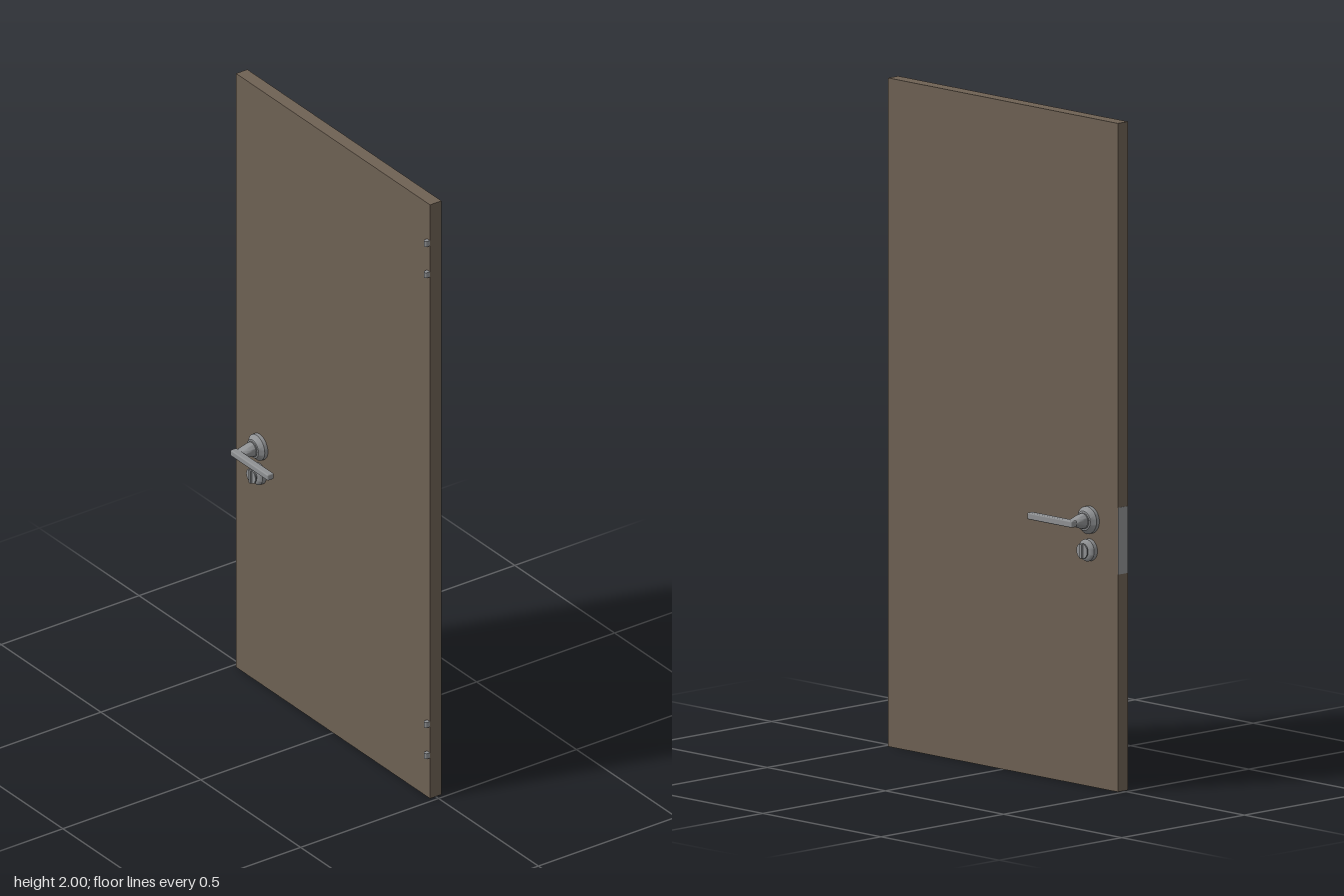
import * as THREE from 'three';
import { toCreasedNormals } from 'three/addons/utils/BufferGeometryUtils.js';
import { RoundedBoxGeometry } from 'three/addons/geometries/RoundedBoxGeometry.js';

const WIDTH = 0.972, HEIGHT = 2, FACE = 0.0205; // FACE: half the door thickness
const HANDLE_X = -0.367, HANDLE_Y = 0.798, LOCK_Y = 0.708;

const wood = new THREE.MeshStandardMaterial({ color: 0x6e6153 });
wood.name = 'brown door';
const metal = new THREE.MeshStandardMaterial({ color: 0x8f9193 });
metal.name = 'grey metal';

function add(parent, name, geometry, material, x = 0, y = 0, z = 0) {
  const mesh = new THREE.Mesh(geometry, material);
  mesh.name = name;
  mesh.position.set(x, y, z);
  parent.add(mesh);
  return mesh;
}

// Turned part with its axis along z; profile is [radius, z] from the door outwards
function turned(profile) {
  const points = profile.map(([r, z]) => new THREE.Vector2(r, z));
  const geometry = new THREE.LatheGeometry(points, 40).rotateX(Math.PI / 2);
  return toCreasedNormals(geometry, 0.5);
}

// Round stem that flattens to the height of the lever at its outer end
function stemGeometry(from, to) {
  const geometry = new THREE.CylinderGeometry(0.0195, 0.0225, to - from, 32, 8);
  geometry.rotateX(Math.PI / 2).translate(0, 0, (from + to) / 2);
  const p = geometry.attributes.position;
  for (let i = 0; i < p.count; i++) {
    const t = (p.getZ(i) - from) / (to - from);
    p.setY(i, p.getY(i) * (1 - 0.5 * THREE.MathUtils.smoothstep(t, 0.1, 0.95)));
  }
  return toCreasedNormals(geometry, 0.6);
}

// Lever handle on its round rose
function createHandle() {
  const handle = new THREE.Group();
  add(handle, 'handleRose', turned([
    [0.041, FACE - 0.002], [0.041, 0.032], [0.039, 0.034], [0.031, 0.043],
    [0.029, 0.046], [0.024, 0.047], [0.024, 0.05], [0, 0.05],
  ]), metal);
  add(handle, 'handleStem', stemGeometry(0.049, 0.1), metal);
  add(handle, 'handleLever', new RoundedBoxGeometry(0.189, 0.02, 0.0225, 3, 0.004), metal, 0.0745, 0, 0.1025);
  return handle;
}

// Round lock with a vertical thumb turn
function createLock() {
  const lock = new THREE.Group();
  add(lock, 'lockRose', turned([
    [0.033, FACE - 0.002], [0.033, 0.034], [0.031, 0.037], [0.024, 0.042],
    [0.017, 0.043], [0.017, 0.048], [0.023, 0.049], [0.023, 0.053], [0, 0.053],
  ]), metal);
  add(lock, 'thumbTurn', new RoundedBoxGeometry(0.011, 0.043, 0.012, 2, 0.002), metal, 0, 0, 0.053);
  return lock;
}

export function createModel() {
  const model = new THREE.Group();
  model.name = 'door';
  add(model, 'doorLeaf', new THREE.BoxGeometry(WIDTH, HEIGHT, 2 * FACE), wood, 0, HEIGHT / 2, 0);

  // Latch plate set in the free edge
  add(model, 'latchPlate', new THREE.BoxGeometry(0.002, 0.2, 2 * FACE - 0.003), metal, -WIDTH / 2, 0.75, 0);

  // The same fittings on both faces
  for (const side of ['front', 'back']) {
    const handle = createHandle(), lock = createLock();
    handle.name = side + 'Handle';
    lock.name = side + 'Lock';
    handle.position.set(HANDLE_X, HANDLE_Y, 0);
    lock.position.set(HANDLE_X, LOCK_Y, 0);
    if (side === 'back') handle.rotation.x = lock.rotation.x = Math.PI;
    model.add(handle, lock);
  }

  // Hinge knuckles near the other edge, two to each hinge
  for (const y of [0.145, 0.25, 1.765, 1.87]) {
    add(model, 'hingeKnuckle', new THREE.CylinderGeometry(0.007, 0.007, 0.018, 20), metal, 0.478, y, 0.029);
    add(model, 'hingeNeck', new THREE.BoxGeometry(0.014, 0.018, 0.01), metal, 0.478, y, 0.024);
  }
  return model;
}
